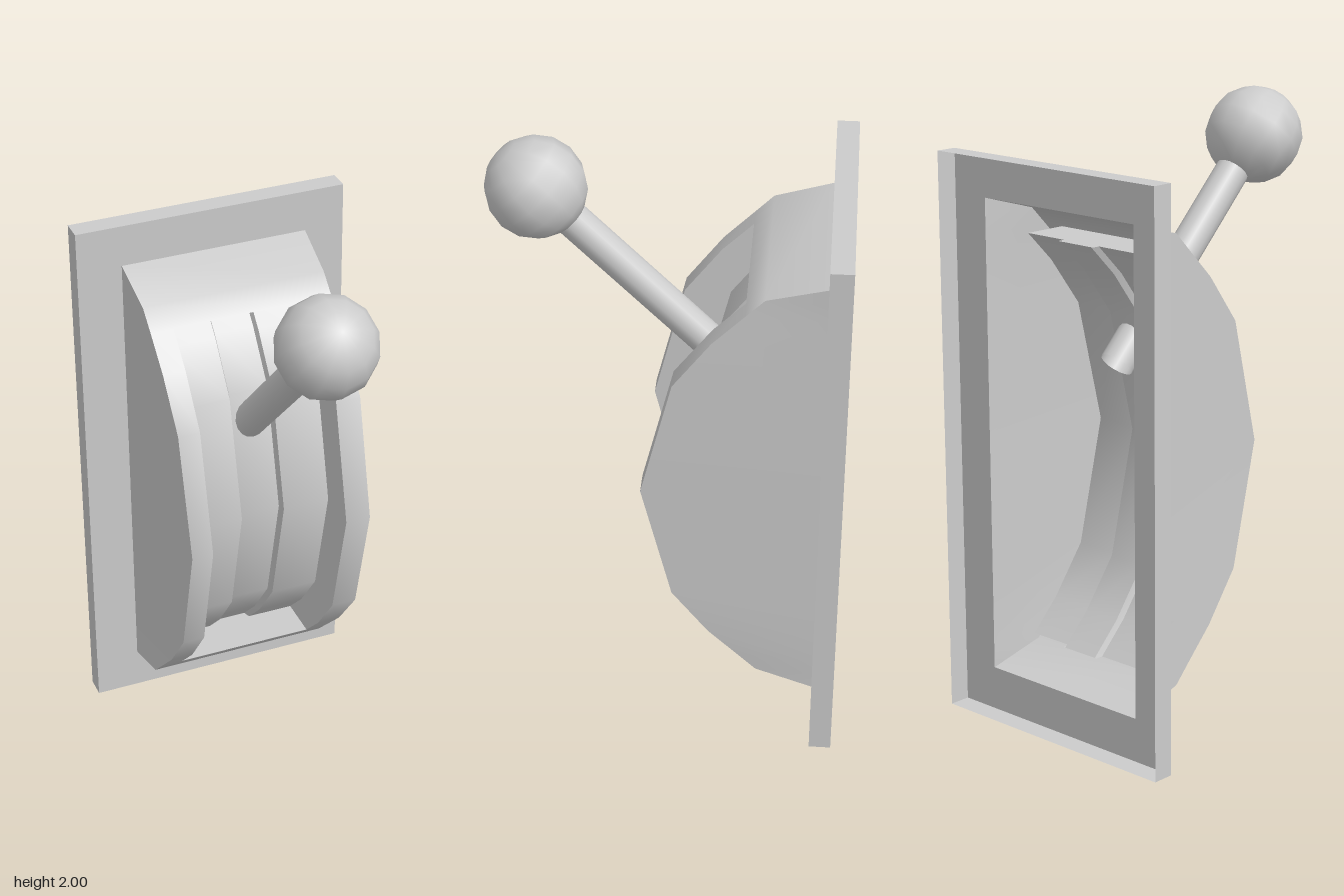
import * as THREE from 'three';

const material = new THREE.MeshStandardMaterial({ color: 0xcccccc, side: THREE.DoubleSide });

function add(parent, name, geometry) {
  const mesh = new THREE.Mesh(geometry, material);
  mesh.name = name;
  parent.add(mesh);
  return mesh;
}

// Ruled surface between two polylines of equal length
function strip(a, b, flat = false) {
  const positions = [], index = [];
  a.forEach((p, i) => {
    positions.push(...p, ...b[i]);
    if (i) {
      const k = i * 2;
      index.push(k - 2, k - 1, k, k - 1, k + 1, k);
    }
  });
  let g = new THREE.BufferGeometry();
  g.setAttribute('position', new THREE.Float32BufferAttribute(positions, 3));
  g.setIndex(index);
  if (flat) g = g.toNonIndexed();
  g.computeVertexNormals();
  return g;
}

const MID = 0.93, BACK = -0.5;

// Lower half of the housing outline: y, z, right edge x, left edge x
const half = [
  [0.145, -0.5, -0.312, 0.328],
  [0.2, -0.31, -0.31, 0.314],
  [0.26, -0.25, -0.308, 0.316],
  [0.36, -0.15, -0.306, 0.32],
  [0.52, -0.03, -0.304, 0.325],
];
const mirrored = half.map(([y, z, l, r]) => [2 * MID - y, z, l, r]).reverse();
const outline = [...half, [MID, 0.07, -0.302, 0.325], ...mirrored];
const grooveStations = outline.slice(2, -2);

// Groove edges, a little wider apart at the middle
const grooveX = [-0.23, 0.24];
const slotX = [-0.07, 0.08];
const FLOOR = -0.15, SLOT = -0.175;

const line = (x, dz) => grooveStations.map(([y, z]) => [x, y, z + dz]);
const edge = (stations, k) => stations.map(s => [s[k], s[0], s[1]]);

function buildPlate() {
  const plate = new THREE.Group();
  plate.name = 'wallPlate';
  const w = 0.463, h = 1.857;
  const shape = new THREE.Shape([[-w, 0], [w, 0], [w, h], [-w, h]].map(p => new THREE.Vector2(...p)));
  shape.holes.push(new THREE.Path([[-0.312, 0.145], [-0.312, 1.715], [0.328, 1.715], [0.328, 0.145]]
    .map(p => new THREE.Vector2(...p))));
  add(plate, 'plateFace', new THREE.ShapeGeometry(shape)).position.z = BACK;
  // Rim is open at the back
  const loop = z => [[-w, 0, z], [w, 0, z], [w, h, z], [-w, h, z], [-w, 0, z]];
  add(plate, 'plateRim', strip(loop(BACK), loop(-0.572), true));
  return plate;
}

function buildHousing() {
  const housing = new THREE.Group();
  housing.name = 'housing';

  // Side walls
  for (const [k, x, name] of [[2, -0.312, 'rightWall'], [3, 0.328, 'leftWall']]) {
    const base = outline.map(s => [x, s[0], BACK]);
    add(housing, name, strip(edge(outline, k), base));
  }

  // Full-width ends above and below the groove
  add(housing, 'lowerEnd', strip(edge(outline.slice(0, 3), 2), edge(outline.slice(0, 3), 3)));
  add(housing, 'upperEnd', strip(edge(outline.slice(-3), 2), edge(outline.slice(-3), 3)));

  // Lips beside the groove, with its walls
  add(housing, 'rightLip', strip(edge(grooveStations, 2), line(grooveX[0], 0)));
  add(housing, 'leftLip', strip(line(grooveX[1], 0), edge(grooveStations, 3)));
  for (const x of grooveX) add(housing, 'grooveWall', strip(line(x, 0), line(x, FLOOR)));

  // Groove floor on both sides of the shallow slot
  add(housing, 'rightFloor', strip(line(grooveX[0], FLOOR), line(slotX[0], FLOOR)));
  add(housing, 'leftFloor', strip(line(slotX[1], FLOOR), line(grooveX[1], FLOOR)));
  add(housing, 'slotFloor', strip(line(slotX[0] + 0.008, SLOT), line(slotX[1] - 0.008, SLOT)));
  slotX.forEach((x, i) => add(housing, 'slotWall',
    strip(line(x, FLOOR), line(x + (i ? -0.008 : 0.008), SLOT))));

  // Ledges closing the groove and slot ends
  for (const [y, z] of [grooveStations[0], grooveStations.at(-1)]) {
    const ledge = ([x0, x1], d0, d1) => strip(
      [[x0, y, z + d0], [x1, y, z + d0]], [[x0, y, z + d1], [x1, y, z + d1]]);
    add(housing, 'grooveLedge', ledge(grooveX, 0, FLOOR));
    add(housing, 'slotLedge', ledge(slotX, FLOOR, SLOT));
  }
  return housing;
}

function buildLever() {
  const lever = new THREE.Group();
  lever.name = 'lever';
  // Tilted 45 degrees forward around the knob centre
  lever.position.set(0.007, 1.842, 0.413);
  lever.rotation.x = Math.PI / 4;
  const length = 0.93;
  add(lever, 'leverRod', new THREE.CylinderGeometry(0.056, 0.056, length, 16, 1, true))
    .position.y = -length / 2;
  add(lever, 'knob', new THREE.SphereGeometry(0.161, 12, 8));
  return lever;
}

export function createModel() {
  const model = new THREE.Group();
  model.name = 'wallLever';
  model.add(buildPlate(), buildHousing(), buildLever());
  return model;
}
